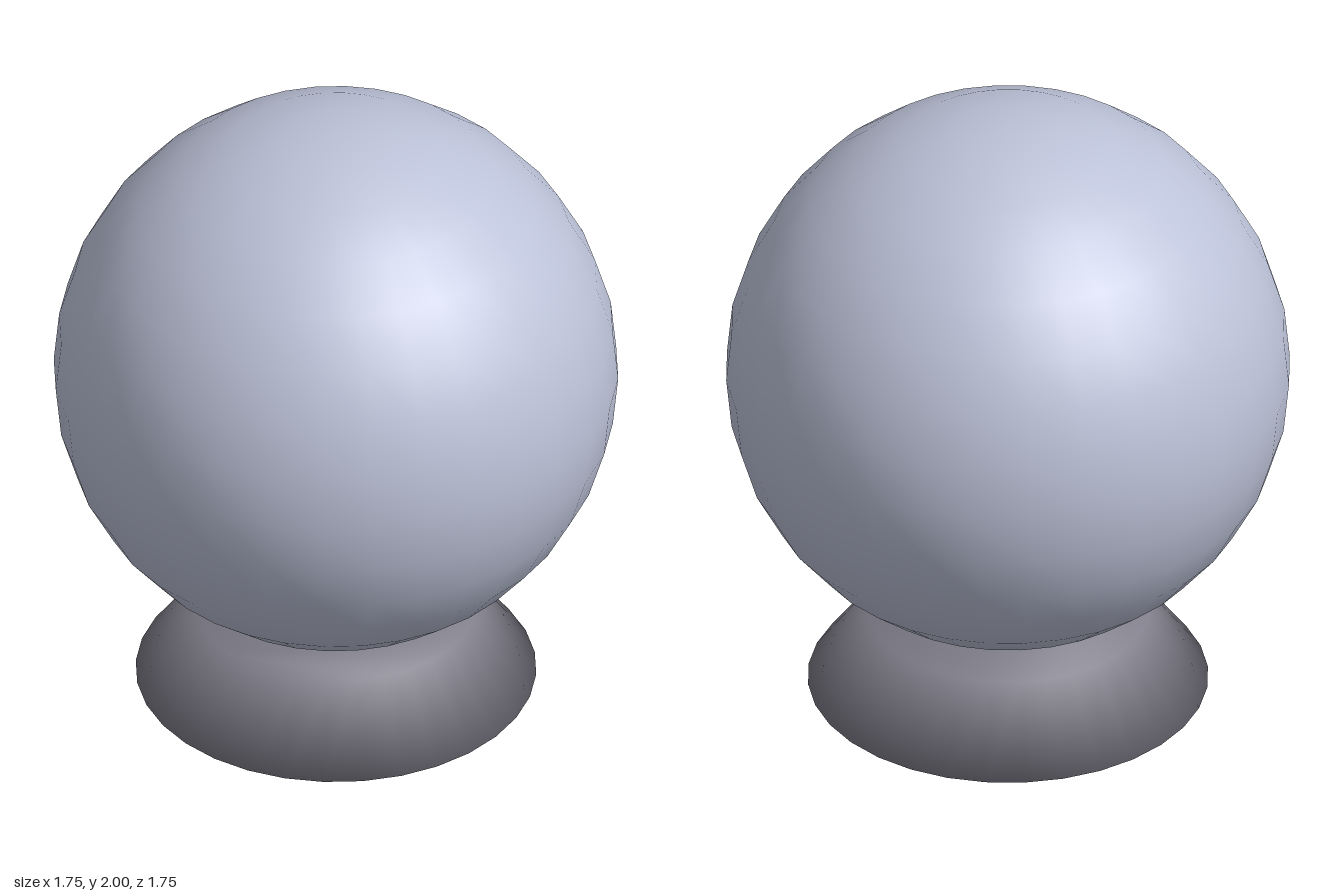
import * as THREE from 'three';

const SEGMENTS = 32;

const paleBlue = new THREE.MeshStandardMaterial({ color: 0xbcc2d8 });
paleBlue.name = 'paleBlue';
const warmGrey = new THREE.MeshStandardMaterial({ color: 0x807e8a });
warmGrey.name = 'warmGrey';

// Closed frustum whose rims are smooth-shaded: side and cap share averaged normals.
function softFrustum(bottomRadius, topRadius, height) {
  const slope = new THREE.Vector2(height, bottomRadius - topRadius).normalize();
  const positions = [], normals = [], index = [];

  for (const [radius, y, capNormal] of [[bottomRadius, 0, -1], [topRadius, height, 1]]) {
    const rim = new THREE.Vector2(slope.x, slope.y + capNormal).normalize();
    for (let i = 0; i < SEGMENTS; i++) {
      const angle = (i / SEGMENTS) * Math.PI * 2;
      const s = Math.sin(angle), c = Math.cos(angle);
      positions.push(radius * s, y, radius * c);
      normals.push(rim.x * s, rim.y, rim.x * c);
    }
  }

  // Sloping side
  for (let i = 0; i < SEGMENTS; i++) {
    const j = (i + 1) % SEGMENTS;
    index.push(i, j, SEGMENTS + j, i, SEGMENTS + j, SEGMENTS + i);
  }
  // Bottom and top caps
  for (let i = 1; i < SEGMENTS - 1; i++) {
    index.push(0, i + 1, i);
    index.push(SEGMENTS, SEGMENTS + i, SEGMENTS + i + 1);
  }

  const geometry = new THREE.BufferGeometry();
  geometry.setAttribute('position', new THREE.Float32BufferAttribute(positions, 3));
  geometry.setAttribute('normal', new THREE.Float32BufferAttribute(normals, 3));
  geometry.setIndex(index);
  return geometry;
}

export function createModel() {
  const model = new THREE.Group();
  model.name = 'ballOnStand';

  // Stand
  const stand = new THREE.Mesh(softFrustum(0.62, 0.436, 0.25), warmGrey);
  stand.name = 'stand';
  model.add(stand);

  // Ball resting on the stand
  const radius = 0.874;
  const ball = new THREE.Mesh(new THREE.SphereGeometry(radius, SEGMENTS, SEGMENTS / 2), paleBlue);
  ball.name = 'ball';
  ball.position.y = 2 - radius;
  model.add(ball);

  return model;
}
